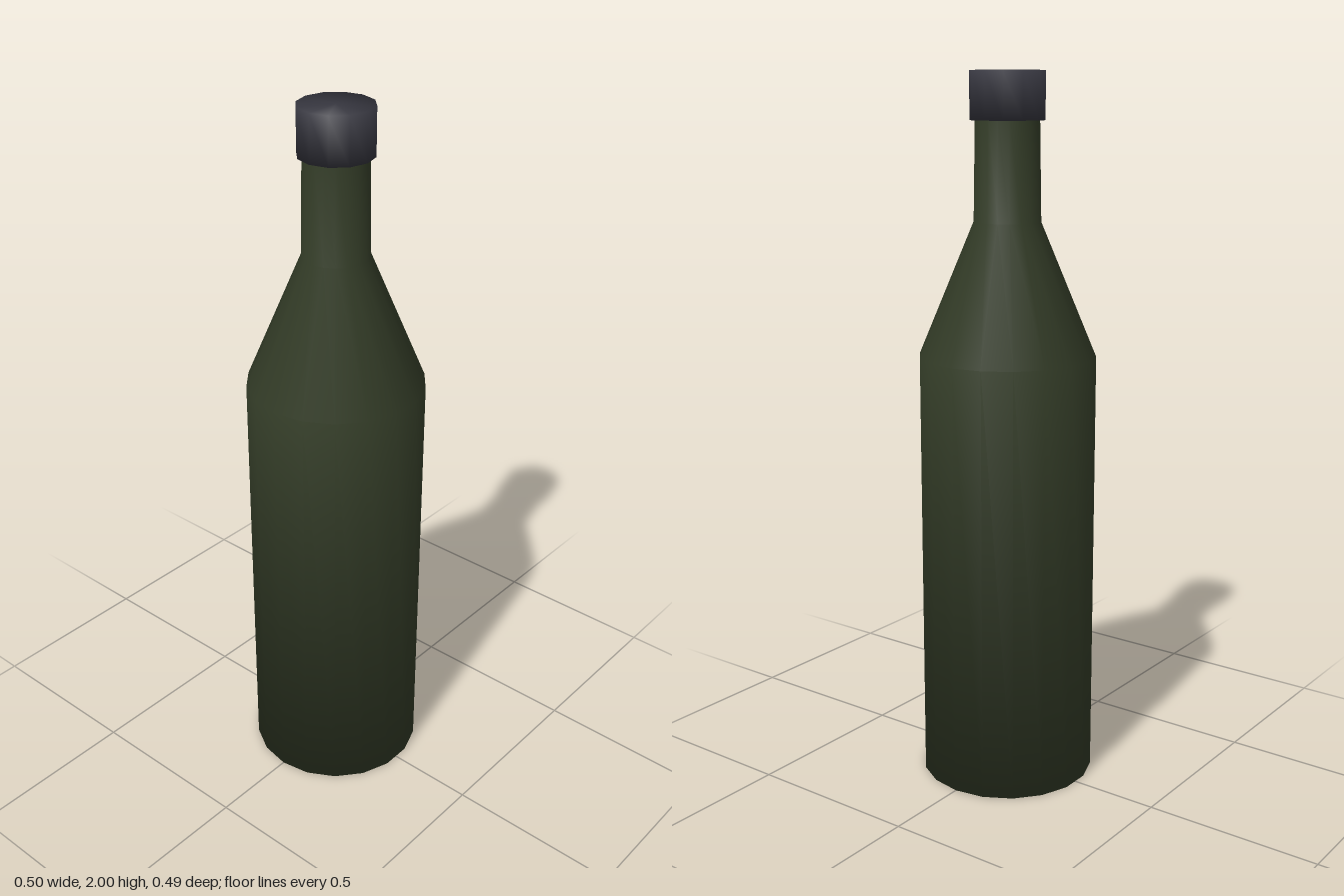
import * as THREE from 'three';

// Lathe with softly blended normals, even across the rims
function turned(profile, sides) {
  const pts = profile.map(([r, y]) => new THREE.Vector2(r, y));
  const geo = new THREE.LatheGeometry(pts, sides, Math.PI / 2);
  const faceNormals = pts.slice(1).map((p, i) =>
    new THREE.Vector2(p.y - pts[i].y, pts[i].x - p.x).normalize());
  const normals = pts.map((p, j) => {
    if (p.x === 0) return new THREE.Vector2(0, j === 0 ? -1 : 1);
    const n = new THREE.Vector2();
    if (j > 0) n.add(faceNormals[j - 1]);
    if (j < faceNormals.length) n.add(faceNormals[j]);
    return n.normalize();
  });
  for (let i = 0; i <= sides; i++) {
    const a = Math.PI / 2 + (i / sides) * Math.PI * 2;
    normals.forEach((n, j) => geo.attributes.normal.setXYZ(
      i * pts.length + j, n.x * Math.sin(a), n.y, n.x * Math.cos(a)));
  }
  return geo;
}

export function createModel() {
  const glass = new THREE.MeshStandardMaterial({ color: 0x343d28 });
  glass.name = 'dark green glass';
  const capMaterial = new THREE.MeshStandardMaterial({ color: 0x36363f });
  capMaterial.name = 'charcoal cap';

  const group = new THREE.Group();
  group.name = 'bottle';

  // Base, straight body, sloped shoulder and slightly tapered neck
  const body = new THREE.Mesh(turned([
    [0, 0], [0.248, 0], [0.248, 1.23], [0.093, 1.6], [0.088, 1.9],
  ], 18), glass);
  body.name = 'bottleBody';

  // Closed screw cap over the neck
  const cap = new THREE.Mesh(turned([
    [0, 1.87], [0.103, 1.87], [0.103, 2], [0, 2],
  ], 12), capMaterial);
  cap.name = 'cap';

  group.add(body, cap);
  return group;
}
